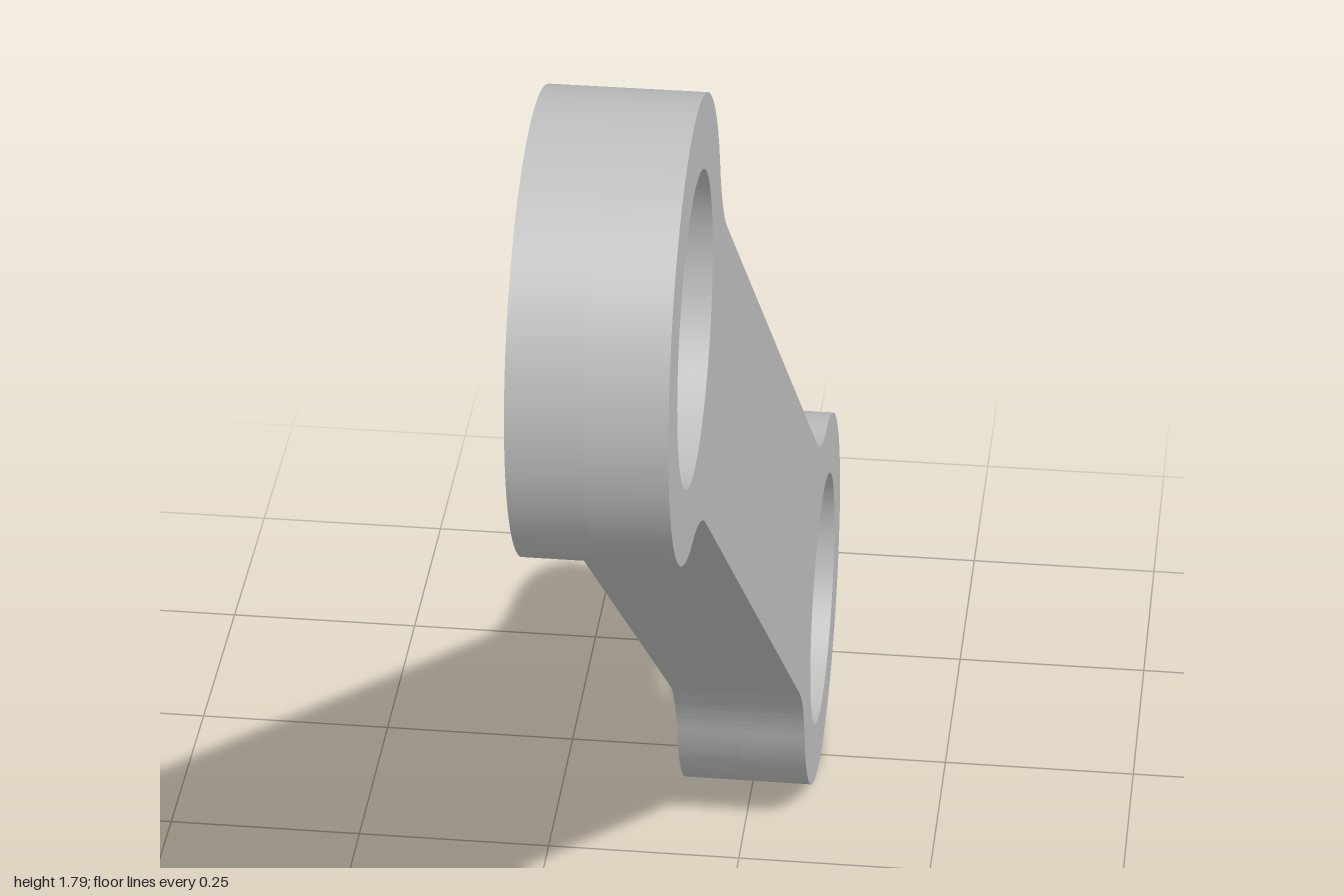
import * as THREE from 'three';
import { toCreasedNormals } from 'three/addons/utils/BufferGeometryUtils.js';

const HALF_X = 0.755, HALF_Y = 0.6525;      // eye centres from the middle of the link
const REACH = Math.hypot(HALF_X, HALF_Y);
const EYE = 0.245, BORE = 0.166;            // eye and bore radii
const BAR = 0.161, FILLET = 0.23;           // half width of the bar, fillet radius
const THICK = 0.083;                        // half thickness
const SLOT_R = 0.08, SLOT_REACH = 0.68;     // slot radius and end centres
const FLOOR = -0.003;                       // slot floor position

// Bar with a round eye at each end, blended by fillets
function linkShape() {
  const s = new THREE.Shape();
  const rise = BAR + FILLET;
  const run = Math.sqrt((EYE + FILLET) ** 2 - rise ** 2);
  const t = Math.atan2(rise, run);
  for (const [sign, turn] of [[1, 0], [-1, Math.PI]]) {
    const cx = sign * (REACH - run);
    s.absarc(cx, -sign * rise, FILLET, turn + Math.PI / 2, turn + t, true);
    s.absarc(sign * REACH, 0, EYE, turn + t - Math.PI, turn + Math.PI - t, false);
    s.absarc(cx, sign * rise, FILLET, turn - t, turn - Math.PI / 2, true);
  }
  s.closePath();
  for (const sign of [1, -1]) {
    s.holes.push(new THREE.Path().absarc(sign * REACH, 0, BORE, 0, Math.PI * 2, true));
  }
  return s;
}

// Long slot with round ends
function slotShape() {
  const s = new THREE.Shape();
  s.absarc(SLOT_REACH, 0, SLOT_R, -Math.PI / 2, Math.PI / 2, false);
  s.absarc(-SLOT_REACH, 0, SLOT_R, Math.PI / 2, Math.PI * 1.5, false);
  s.closePath();
  return s;
}

// Extrudes a shape from x0 to x1, keeping only the named faces
function slab(shape, x0, x1, keep) {
  const full = new THREE.ExtrudeGeometry(shape, { depth: x1 - x0, bevelEnabled: false, curveSegments: 32 });
  const caps = full.groups[0].count;
  const pos = full.attributes.position;
  const ranges = { bottom: [0, caps / 2], top: [caps / 2, caps], sides: [caps, pos.count] };
  const points = [];
  for (const face of keep) {
    const [a, b] = ranges[face];
    for (let i = a; i < b; i++) points.push(pos.getX(i), pos.getY(i), pos.getZ(i));
  }
  const geo = new THREE.BufferGeometry();
  geo.setAttribute('position', new THREE.Float32BufferAttribute(points, 3));
  geo.translate(0, 0, x0);
  geo.rotateZ(-Math.atan2(HALF_Y, HALF_X));
  geo.rotateY(Math.PI / 2);
  geo.translate(0, HALF_Y + EYE, 0);
  return toCreasedNormals(geo, 0.6);
}

export function createModel() {
  const group = new THREE.Group();
  group.name = 'linkArm';
  const steel = new THREE.MeshStandardMaterial({ color: 0xbfbfbf });
  steel.name = 'steel grey';

  const add = (name, geo) => {
    const mesh = new THREE.Mesh(geo, steel);
    mesh.name = name;
    group.add(mesh);
  };

  // Plain half on the +x side
  add('solidHalf', slab(linkShape(), FLOOR, THICK, ['top', 'sides']));

  // Half cut by the slot on the -x side
  const slotted = linkShape();
  slotted.holes.push(slotShape());
  add('slottedHalf', slab(slotted, -THICK, FLOOR, ['bottom', 'sides']));

  // Bottom of the slot
  add('slotFloor', slab(slotShape(), FLOOR, THICK, ['bottom']));
  return group;
}
